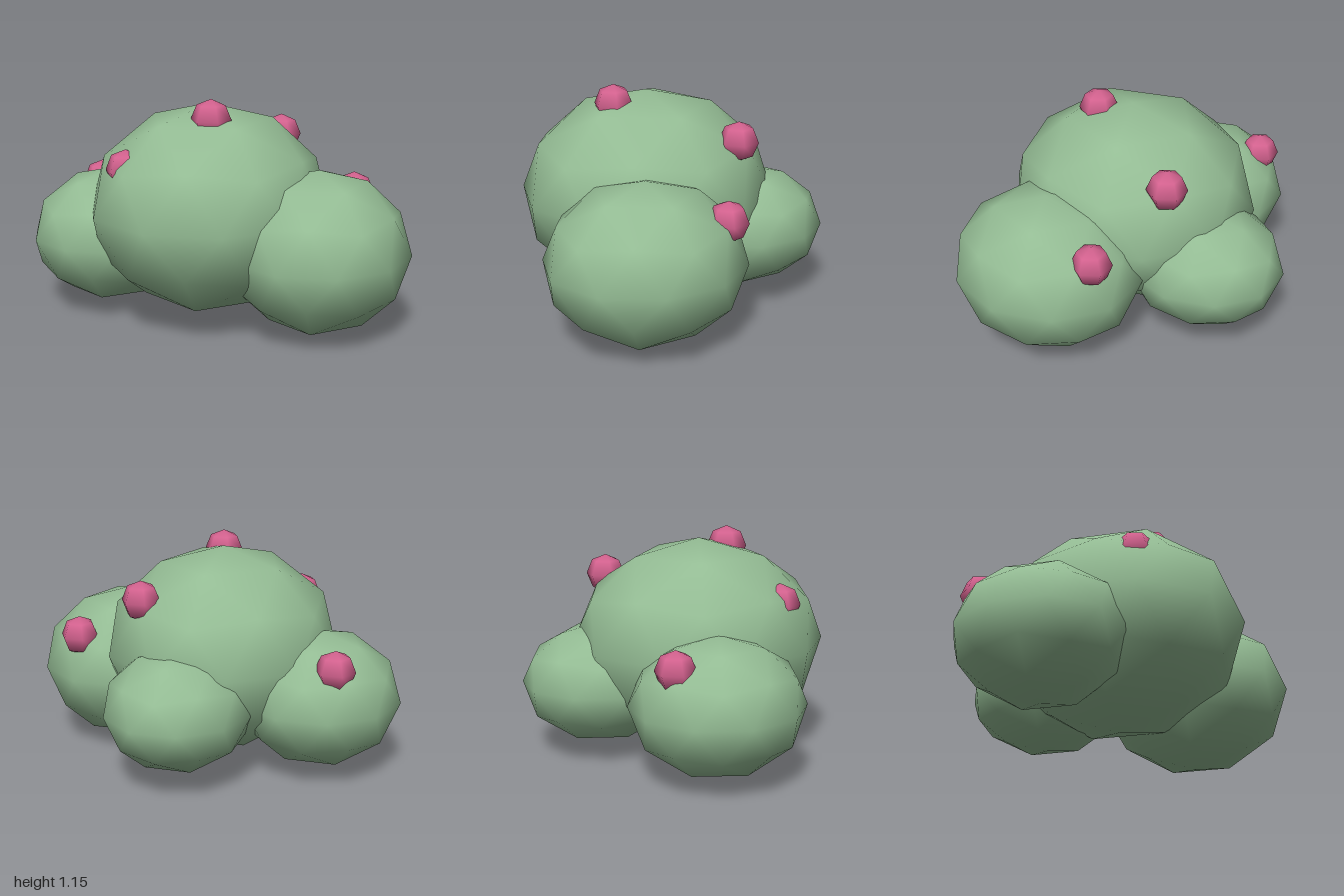
import * as THREE from 'three';

const leafGreen = new THREE.MeshStandardMaterial({ color: 0x94bc94 });
leafGreen.name = 'leafGreen';
const blossomPink = new THREE.MeshStandardMaterial({ color: 0xd4628f });
blossomPink.name = 'blossomPink';

// Leafy lobes: name, centre, radii
const lobes = [
  ['mainFoliage', [-0.035, 0.577, 0.135], [0.615, 0.53, 0.65]],
  ['leftFoliage', [0.54, 0.407, 0.265], [0.46, 0.407, 0.5]],
  ['rightFoliage', [-0.58, 0.383, 0.02], [0.42, 0.347, 0.437]],
  ['backFoliage', [0.055, 0.38, -0.355], [0.378, 0.31, 0.42]],
];

// Blossom centres, partly sunk into the foliage
const blossoms = [
  [0.012, 1.052, 0.31],
  [0.275, 0.893, -0.268],
  [0.68, 0.632, -0.105],
  [-0.71, 0.61, -0.245],
  [-0.387, 0.812, 0.432],
];

export function createModel() {
  const bush = new THREE.Group();
  bush.name = 'floweringBush';

  // Smooth low-poly ball turned so that a vertex sits at each pole
  const ball = new THREE.IcosahedronGeometry(1, 1);
  ball.rotateX(Math.atan((1 + Math.sqrt(5)) / 2));
  for (const [name, centre, radii] of lobes) {
    const lobe = new THREE.Mesh(ball, leafGreen);
    lobe.name = name;
    lobe.position.set(...centre);
    lobe.scale.set(...radii);
    bush.add(lobe);
  }

  // Six-sided blossoms
  const bud = new THREE.SphereGeometry(0.102, 6, 4);
  blossoms.forEach((centre, i) => {
    const blossom = new THREE.Mesh(bud, blossomPink);
    blossom.name = `blossom${i + 1}`;
    blossom.position.set(...centre);
    bush.add(blossom);
  });

  return bush;
}
